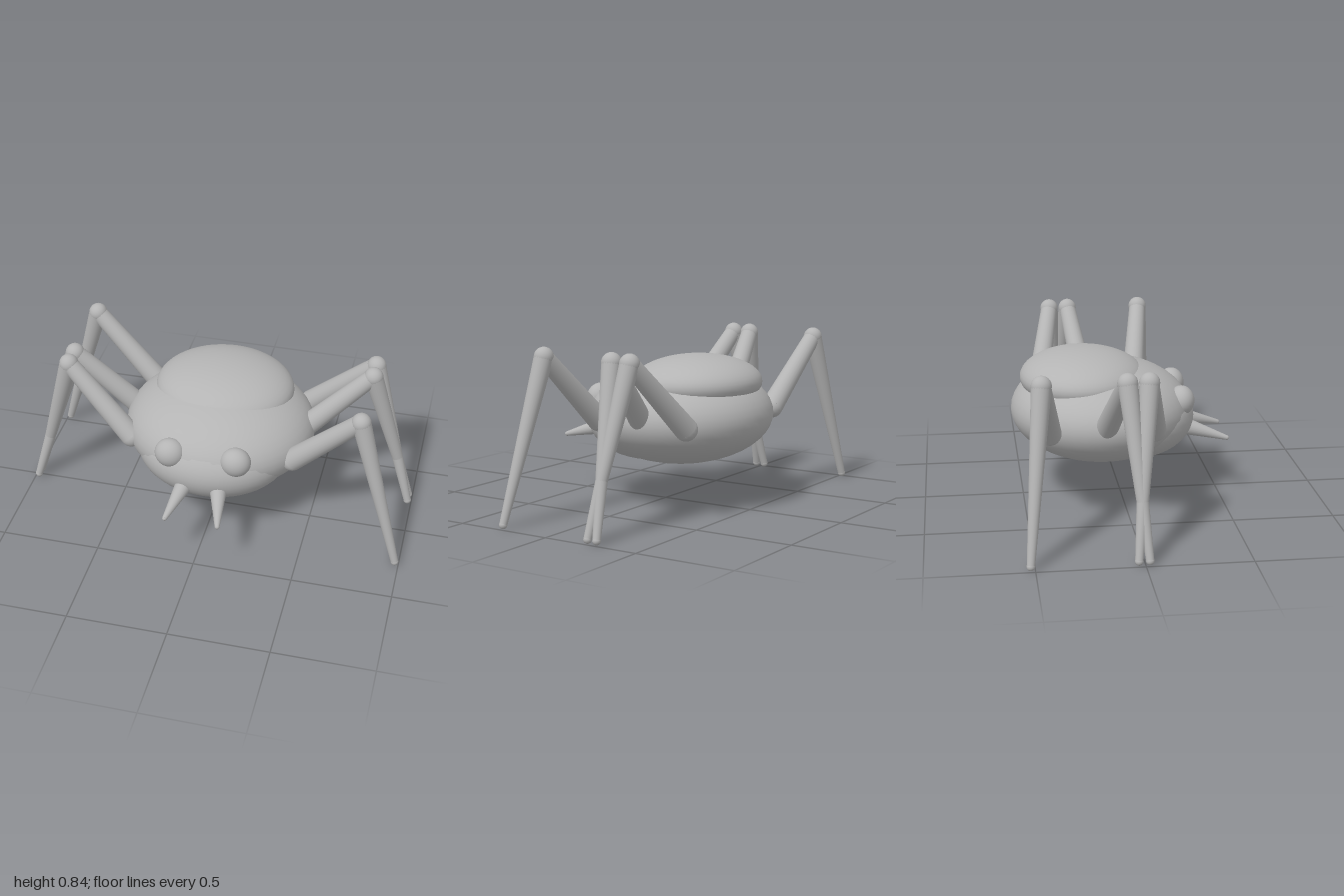
import * as THREE from 'three';

export function createModel() {
  const model = new THREE.Group();
  const grey = new THREE.MeshStandardMaterial({ color: 0xb4b4b4 });
  grey.name = 'grey';

  function ellipsoid(parent, name, center, radii, segments = 32) {
    const geometry = new THREE.SphereGeometry(1, segments, segments / 2).scale(...radii);
    const mesh = new THREE.Mesh(geometry, grey);
    mesh.name = name;
    mesh.position.set(...center);
    parent.add(mesh);
  }

  // Tapered rod running from point a to point b
  function rod(parent, name, a, b, radiusA, radiusB) {
    const start = new THREE.Vector3(...a);
    const end = new THREE.Vector3(...b);
    const direction = end.clone().sub(start);
    const geometry = new THREE.CylinderGeometry(radiusB, radiusA, direction.length(), 24);
    const mesh = new THREE.Mesh(geometry, grey);
    mesh.name = name;
    mesh.position.copy(start).add(end).multiplyScalar(0.5);
    mesh.quaternion.setFromUnitVectors(new THREE.Vector3(0, 1, 0), direction.normalize());
    parent.add(mesh);
  }

  // Body, lower head and raised back
  ellipsoid(model, 'abdomen', [0, 0.455, -0.1], [0.485, 0.25, 0.453], 48);
  ellipsoid(model, 'head', [0, 0.42, 0.06], [0.388, 0.215, 0.315], 48);
  ellipsoid(model, 'backDome', [0, 0.62, -0.19], [0.355, 0.138, 0.315], 48);

  // Eyes and fangs
  for (const side of [1, -1]) {
    const label = side > 0 ? 'left' : 'right';
    ellipsoid(model, label + 'Eye', [side * 0.165, 0.52, 0.29], [0.077, 0.075, 0.066]);
    const fang = new THREE.Group();
    fang.name = label + 'Fang';
    const tip = [side * 0.132, 0.302, 0.533];
    rod(fang, 'fangCone', [side * 0.082, 0.366, 0.3], tip, 0.047, 0.012);
    ellipsoid(fang, 'fangTip', tip, [0.012, 0.012, 0.012], 12);
    model.add(fang);
  }

  // Legs: side, then z of hip, knee and foot
  const legs = [
    ['leftFrontLeg', 1, 0.12, 0.19, 0.265],
    ['leftMiddleLeg', 1, -0.14, -0.2, -0.275],
    ['leftBackLeg', 1, -0.387, -0.3, -0.225],
    ['rightFrontLeg', -1, 0.12, 0.045, -0.03],
    ['rightMiddleLeg', -1, -0.12, -0.055, 0.02],
    ['rightBackLeg', -1, -0.387, -0.445, -0.52],
  ];
  for (const [name, side, hipZ, kneeZ, footZ] of legs) {
    const leg = new THREE.Group();
    leg.name = name;
    const hip = [side * 0.415, 0.453, hipZ];
    const knee = [side * 0.752, 0.793, kneeZ];
    const foot = [side * 0.98, 0.02, footZ];
    ellipsoid(leg, 'hip', hip, [0.057, 0.057, 0.057], 24);
    rod(leg, 'upperLeg', hip, knee, 0.057, 0.043);
    ellipsoid(leg, 'knee', knee, [0.048, 0.048, 0.048], 24);
    rod(leg, 'lowerLeg', knee, foot, 0.047, 0.019);
    ellipsoid(leg, 'foot', foot, [0.02, 0.02, 0.02], 16);
    model.add(leg);
  }
  return model;
}
